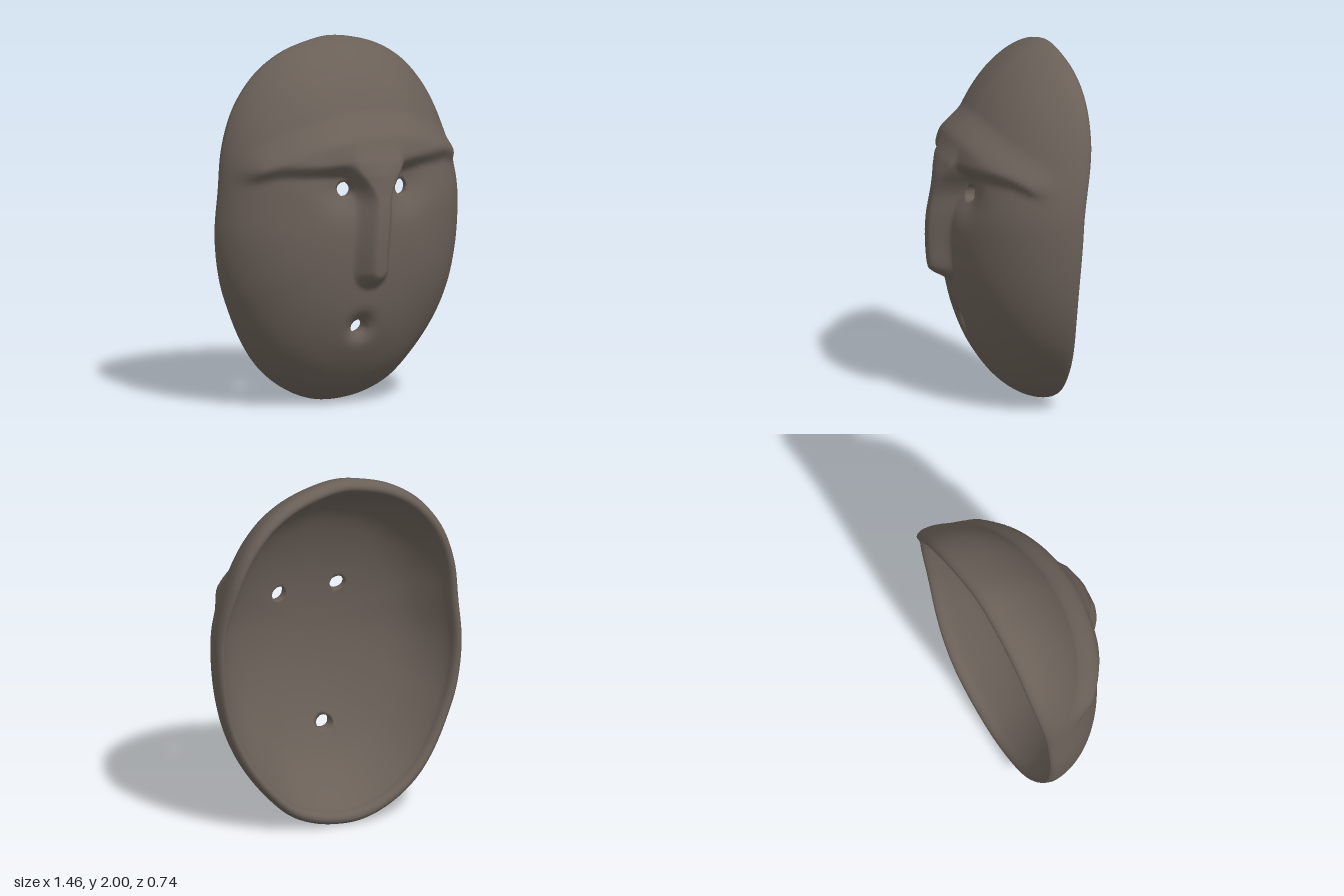
import * as THREE from 'three';
import { mergeVertices } from 'three/addons/utils/BufferGeometryUtils.js';

const ss = (a, b, v) => {
  const t = Math.min(1, Math.max(0, (v - a) / (b - a)));
  return t * t * (3 - 2 * t);
};
const bell = (x, y, cx, cy, r) => Math.exp(-((x - cx) ** 2 + (y - cy) ** 2) / (r * r));

// Face outline, counter-clockwise seen from the front
const OUTLINE = [
  [0.725, 1.0], [0.725, 1.2], [0.69, 1.4], [0.63, 1.59], [0.56, 1.72], [0.46, 1.835], [0.33, 1.92],
  [0.17, 1.975], [0, 2.0], [-0.14, 1.98], [-0.3, 1.93], [-0.46, 1.825], [-0.6, 1.645], [-0.68, 1.43],
  [-0.71, 1.2], [-0.73, 0.95], [-0.7, 0.7], [-0.64, 0.52], [-0.56, 0.35], [-0.47, 0.22], [-0.36, 0.12],
  [-0.23, 0.045], [-0.1, 0.007], [0.05, 0.008], [0.18, 0.037], [0.3, 0.095], [0.45, 0.24], [0.57, 0.41],
  [0.65, 0.59], [0.7, 0.79],
];

// Eye and mouth openings: centre and radii
const HOLES = [
  { x: -0.175, y: 1.235, rx: 0.042, ry: 0.04 },
  { x: 0.175, y: 1.222, rx: 0.043, ry: 0.043 },
  { x: -0.065, y: 0.465, rx: 0.046, ry: 0.039 },
];

// Depth of the rim along the outline
const rimZ = (x, y) => -0.249 - 0.04 * ss(1.15, 1.8, y) - 0.035 * ss(-0.1, 0.55, x) * ss(1.1, 1.6, y)
  - 0.013 * (1 - ss(0.1, 0.6, y)) + 0.025 * ss(0, 0.6, x) * Math.exp(-(((y - 0.7) / 0.4) ** 2));

// Brow ridge: firm lower edge, soft arched upper edge
function browHeight(x, y) {
  const ax = Math.abs(x);
  const low = 1.34 + 0.02 * ss(0.1, 0.35, x) - 0.05 * ss(0.48, 0.7, ax);
  const up = 1.635 - 0.47 * x * x;
  return 0.07 * ss(low - 0.05, low + 0.05, y) * (1 - ss(up - 0.14, up + 0.01, y));
}

// Long rounded nose flaring into the brow
function noseHeight(x, y) {
  const cx = -0.045 + 0.035 * ss(0.85, 1.3, y);
  const half = 0.115 + 0.1 * ss(1.1, 1.38, y) ** 2;
  const d = Math.hypot(x - cx, Math.max(0, 0.79 - y));
  return 0.106 * (1 - ss(half - 0.09, half, d)) * (1 - ss(1.3, 1.6, y));
}

// Sunken eye sockets and the funnel round the mouth
const dents = (x, y) => -0.05 * (bell(x, y, -0.19, 1.24, 0.12) + bell(x, y, 0.19, 1.23, 0.12))
  - 0.07 * bell(x, y, -0.065, 0.465, 0.068) + 0.015 * bell(x, y, -0.065, 0.455, 0.13);

function maskGeometry() {
  const N = 200, M = 100, K = 10, T = 2 * M + K;
  const curve = new THREE.CatmullRomCurve3(
    OUTLINE.map(([x, y]) => new THREE.Vector3(x, y, 0)), true, 'centripetal');
  const edge = curve.getSpacedPoints(N).slice(0, N);
  const flat = (i, j) => {
    const b = edge[(j + N) % N], r = Math.sin((i / M) * Math.PI / 2);
    return { x: b.x * r, y: 1 + (b.y - 1) * r };
  };
  const at = (i, j) => i * N + ((j + N) % N);

  // Mark the cells inside the openings, and round off their borders
  const cut = new Set(), snap = new Map();
  for (let i = 1; i < M * 0.7; i++) for (let j = 0; j < N; j++) {
    const p = flat(i + 0.5, j), q = flat(i + 0.5, j + 1);
    const hole = HOLES.find(h =>
      Math.hypot(((p.x + q.x) / 2 - h.x) / h.rx, ((p.y + q.y) / 2 - h.y) / h.ry) < 1);
    if (!hole) continue;
    cut.add(at(i, j));
    for (const [a, b] of [[i, j], [i + 1, j], [i + 1, j + 1], [i, j + 1]]) snap.set(at(a, b), hole);
  }
  const plan = (i, j) => {
    const p = flat(i, j), h = snap.get(at(i, j));
    if (h) {
      const dx = (p.x - h.x) / h.rx, dy = (p.y - h.y) / h.ry, d = Math.hypot(dx, dy) || 1;
      p.x = h.x + (dx / d) * h.rx;
      p.y = h.y + (dy / d) * h.ry;
    }
    return p;
  };

  // Rings run from the face centre over the rim to the centre of the hollow
  const pos = [], index = [], INSET = 0.072;
  for (let i = 0; i <= T; i++) for (let j = 0; j < N; j++) {
    const b = edge[j], zr = rimZ(b.x, b.y);
    if (i > M && i < M + K) {
      const a = ((i - M) / K) * Math.PI;
      const s = 1 - INSET / 2 + (INSET / 2) * Math.cos(a);
      pos.push(b.x * s, 1 + (b.y - 1) * s, zr - 0.048 * Math.sin(a));
      continue;
    }
    const inner = i > M, ring = inner ? T - i : i;
    const u = (ring / M) * Math.PI / 2, rho = Math.sin(u), c = Math.max(0, Math.cos(u));
    const power = 1.07 + 0.13 * ss(0, 0.8, b.y - 1);
    const p = plan(ring, j);
    if (inner) {
      // The wall thickens towards the chin
      const s = 1 - INSET * ss(0.62, 1, rho);
      const hollow = power + 0.2 + 0.25 * ss(0, 0.8, 1 - b.y);
      pos.push(p.x * s, 1 + (p.y - 1) * s, zr + (0.182 - zr) * c ** hollow);
    } else {
      const fade = 1 - ss(0.86, 0.99, rho);
      const brow = browHeight(p.x, p.y) * fade;
      const relief = (brow ** 4 + noseHeight(p.x, p.y) ** 4) ** 0.25 + dents(p.x, p.y) * fade;
      pos.push(p.x + brow * 0.3 * p.x, p.y, zr + (0.264 - zr) * c ** power + relief);
    }
  }

  // Skin of the shell, leaving the openings free
  for (let i = 0; i < T; i++) for (let j = 0; j < N; j++) {
    if (cut.has(at(i < M ? i : T - 1 - i, j))) continue;
    const a = at(i, j), b = at(i + 1, j), c = at(i + 1, j + 1), d = at(i, j + 1);
    if (i < T - 1) index.push(a, b, c);
    else index.push(a, b, d);
    if (i > 0 && i < T - 1) index.push(a, c, d);
  }

  // Walls through the openings
  for (const key of cut) {
    const i = Math.floor(key / N), j = key % N;
    const sides = [
      [i, j, i + 1, j, i, j - 1], [i + 1, j, i + 1, j + 1, i + 1, j],
      [i + 1, j + 1, i, j + 1, i, j + 1], [i, j + 1, i, j, i - 1, j],
    ];
    for (const [ai, aj, bi, bj, ni, nj] of sides) {
      if (cut.has(at(ni, nj))) continue;
      const a = at(ai, aj), b = at(bi, bj), A = at(T - ai, aj), B = at(T - bi, bj);
      index.push(a, b, B, a, B, A);
    }
  }

  let geo = new THREE.BufferGeometry();
  geo.setAttribute('position', new THREE.Float32BufferAttribute(pos, 3));
  geo.setIndex(index);
  geo = mergeVertices(geo, 1e-5);
  geo.computeVertexNormals();
  return geo;
}

export function createModel() {
  const clay = new THREE.MeshStandardMaterial({ color: 0x6a6058 });
  clay.name = 'dark clay';
  const group = new THREE.Group();
  group.name = 'mask';
  const shell = new THREE.Mesh(maskGeometry(), clay);
  shell.name = 'maskShell';
  group.add(shell);
  return group;
}
